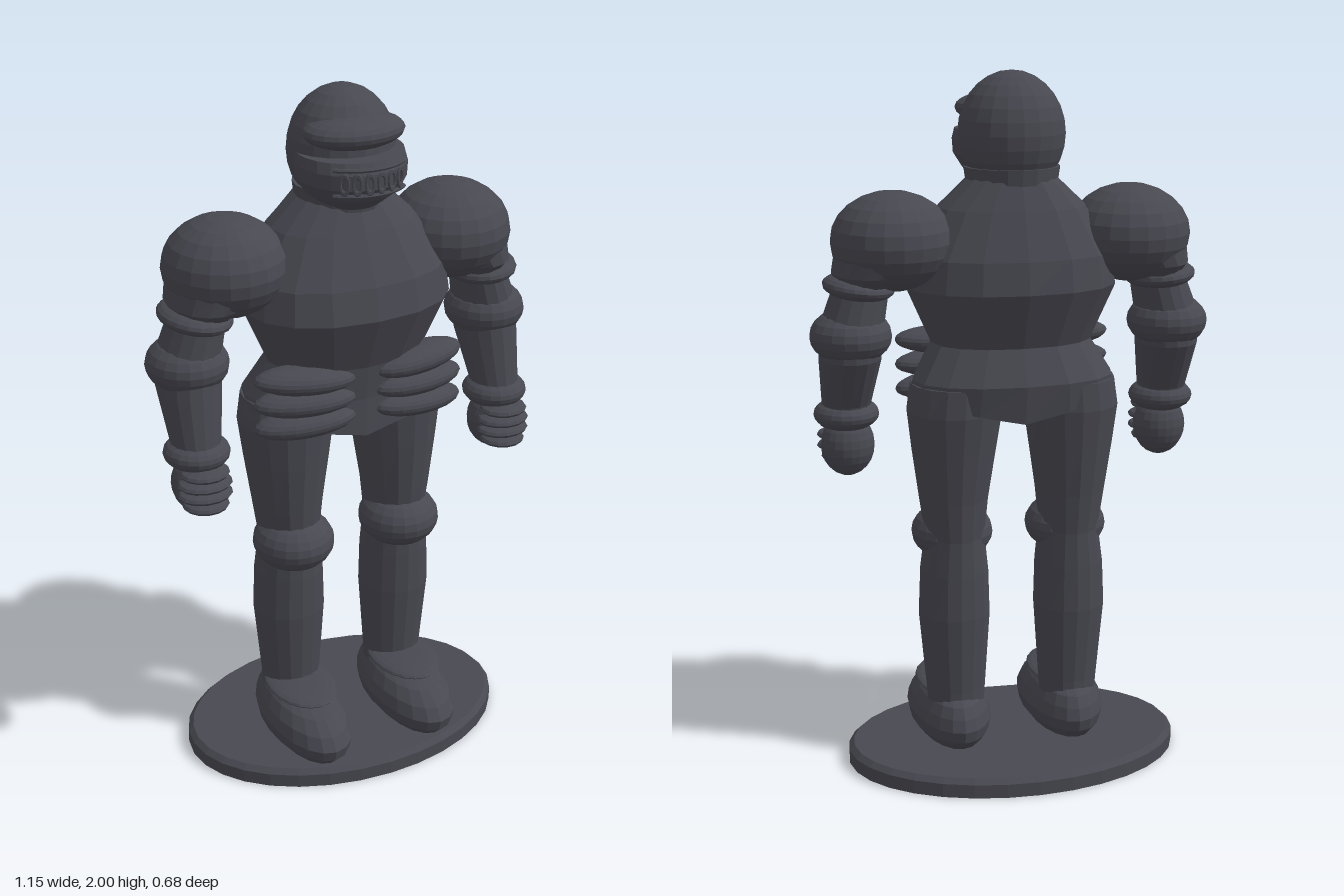
import * as THREE from 'three';

export function createModel() {
  const model = new THREE.Group();
  model.name = 'armouredFigure';
  const steel = new THREE.MeshStandardMaterial({ color: 0x484851, flatShading: true });
  steel.name = 'darkSteel';

  function add(name, geometry, parent = model) {
    const mesh = new THREE.Mesh(geometry, steel);
    mesh.name = name;
    parent.add(mesh);
    return mesh;
  }

  // Ellipsoid at p with radii r
  function blob(name, p, r, parent, w = 20, h = 12) {
    const m = add(name, new THREE.SphereGeometry(1, w, h), parent);
    m.position.set(...p);
    m.scale.set(...r);
    return m;
  }

  // Closed loft through elliptical rings [y, cx, cz, rx, rz], listed upwards
  function loft(rings, sides = 16, power = 2, drop = () => 0) {
    const pos = [], index = [];
    const soft = v => Math.sign(v) * Math.abs(v) ** (2 / power);
    rings.forEach(([y, cx, cz, rx, rz], j) => {
      for (let i = 0; i < sides; i++) {
        const a = (i / sides) * Math.PI * 2;
        const x = cx + rx * soft(Math.sin(a));
        pos.push(x, y - (j === 0 ? drop(x) : 0), cz + rz * soft(Math.cos(a)));
      }
    });
    const last = rings.length - 1, bottom = rings.length * sides, top = bottom + 1;
    pos.push(rings[0][1], rings[0][0] - drop(rings[0][1]), rings[0][2]);
    pos.push(rings[last][1], rings[last][0], rings[last][2]);
    for (let i = 0; i < sides; i++) {
      const k = (i + 1) % sides;
      for (let j = 0; j < last; j++) {
        const a = j * sides + i, b = j * sides + k;
        index.push(a, b, b + sides, a, b + sides, a + sides);
      }
      index.push(bottom, k, i, top, last * sides + i, last * sides + k);
    }
    const g = new THREE.BufferGeometry();
    g.setAttribute('position', new THREE.Float32BufferAttribute(pos, 3));
    g.setIndex(index);
    g.computeVertexNormals();
    return g;
  }

  // Oval base with a bevelled rim
  add('base', loft([
    [0, 0, 0, 0.49, 0.34], [0.04, 0, 0, 0.49, 0.34], [0.055, 0, 0, 0.475, 0.325],
  ], 32));

  // Breastplate, waist and skirt, lower at the middle
  add('torso', loft([
    [1.1, 0, 0, 0.305, 0.165],
    [1.15, 0, -0.01, 0.29, 0.17],
    [1.25, 0, 0.015, 0.23, 0.155],
    [1.41, 0, 0.015, 0.3, 0.22],
    [1.5, 0, 0.01, 0.29, 0.205],
    [1.63, 0, 0, 0.21, 0.15],
    [1.71, 0, -0.005, 0.125, 0.115],
  ], 16, 2.25, x => 0.06 * Math.max(0, 1 - Math.abs(x) / 0.3)));

  // Helmet
  const head = new THREE.Group();
  head.name = 'head';
  model.add(head);
  add('neck', loft([[1.64, 0, 0, 0.12, 0.12], [1.74, 0, 0, 0.135, 0.13]], 20), head);
  blob('helmetDome', [0, 1.83, 0], [0.15, 0.17, 0.143], head, 20, 14);
  blob('visorBrow', [0, 1.895, 0.075], [0.143, 0.047, 0.105], head);
  add('faceGuard', loft([
    [1.695, 0, 0.045, 0.08, 0.09],
    [1.73, 0, 0.05, 0.125, 0.13],
    [1.77, 0, 0.055, 0.15, 0.152],
    [1.81, 0, 0.055, 0.153, 0.152],
    [1.84, 0, 0.05, 0.147, 0.142],
  ], 24), head);
  // Row of oval breathing holes
  for (let i = -2.5; i <= 2.5; i++) {
    const a = i * 0.22;
    const ring = add('breathingHole', new THREE.TorusGeometry(0.011, 0.004, 6, 12), head);
    ring.scale.y = 2.2;
    ring.position.set(0.154 * Math.sin(a), 1.788, 0.055 + 0.154 * Math.cos(a));
    ring.rotation.y = a;
  }
  // Raised rims above and below the holes
  for (const y of [1.755, 1.825]) {
    const rim = add('grilleRim', new THREE.TorusGeometry(0.151, 0.006, 6, 16, 1.5), head);
    rim.position.set(0, y, 0.055);
    rim.rotation.set(Math.PI / 2, 0, Math.PI / 2 - 0.75);
  }

  for (const s of [1, -1]) {
    const side = s > 0 ? 'left' : 'right';

    // Arm, from shoulder to fist
    const arm = new THREE.Group();
    arm.name = side + 'Arm';
    model.add(arm);
    blob('shoulderGuard', [s * 0.34, 1.545, -0.01], [0.172, 0.138, 0.178], arm);
    add('shoulderCuff', loft([
      [1.43, s * 0.41, -0.005, 0.08, 0.11],
      [1.46, s * 0.405, -0.005, 0.105, 0.14],
      [1.53, s * 0.36, -0.01, 0.14, 0.16],
    ]), arm);
    const disc = blob('armRing', [s * 0.435, 1.42, 0], [0.1, 0.038, 0.13], arm);
    disc.rotation.z = s * 0.1;
    add('armTube', loft([
      [1.02, s * 0.467, 0.06, 0.065, 0.065],
      [1.08, s * 0.467, 0.055, 0.07, 0.075],
      [1.22, s * 0.462, 0.005, 0.088, 0.105],
      [1.32, s * 0.455, -0.005, 0.09, 0.1],
      [1.45, s * 0.42, 0, 0.075, 0.09],
    ]), arm);
    blob('elbowGuard', [s * 0.46, 1.285, -0.005], [0.115, 0.08, 0.12], arm);
    blob('wristCuff', [s * 0.467, 1.048, 0.06], [0.093, 0.048, 0.095], arm);
    blob('hand', [s * 0.465, 0.957, 0.06], [0.077, 0.09, 0.07], arm);
    for (let i = 0; i < 4; i++) {
      const w = [0.07, 0.078, 0.078, 0.066][i];
      blob('finger', [s * 0.467, 1.008 - i * 0.032, 0.115], [w, 0.02, 0.064], arm, 14, 8);
    }

    // Three overlapping hip plates
    for (let i = 0; i < 3; i++) {
      const plate = blob('hipPlate', [s * 0.172, 1.232 - i * 0.064, 0.13], [0.145, 0.04, 0.065]);
      plate.rotation.y = s * 0.15;
      plate.rotation.z = s * (1 - i) * 0.06;
    }

    // Leg and foot
    const leg = new THREE.Group();
    leg.name = side + 'Leg';
    model.add(leg);
    add('thigh', loft([
      [0.68, s * 0.17, 0, 0.085, 0.1],
      [0.8, s * 0.173, 0, 0.1, 0.112],
      [0.95, s * 0.172, -0.005, 0.122, 0.13],
      [1.06, s * 0.17, -0.01, 0.137, 0.142],
      [1.14, s * 0.165, -0.01, 0.13, 0.14],
    ]), leg);
    blob('kneeGuard', [s * 0.17, 0.685, 0.035], [0.118, 0.085, 0.122], leg);
    add('shin', loft([
      [0.12, s * 0.17, 0, 0.08, 0.08],
      [0.22, s * 0.17, 0, 0.087, 0.083],
      [0.45, s * 0.173, 0, 0.105, 0.102],
      [0.58, s * 0.172, 0, 0.1, 0.103],
      [0.7, s * 0.17, 0, 0.085, 0.1],
    ]), leg);
    const flap = blob('ankleFlap', [s * 0.172, 0.212, 0.075], [0.1, 0.019, 0.15], leg);
    flap.rotation.x = -0.03;
    add('foot', loft([
      [0.05, s * 0.172, 0.09, 0.085, 0.19],
      [0.085, s * 0.172, 0.092, 0.112, 0.225],
      [0.12, s * 0.172, 0.092, 0.118, 0.234],
      [0.155, s * 0.172, 0.085, 0.108, 0.215],
      [0.185, s * 0.172, 0.07, 0.09, 0.18],
      [0.205, s * 0.172, 0.05, 0.07, 0.12],
    ], 20), leg);
  }
  return model;
}
